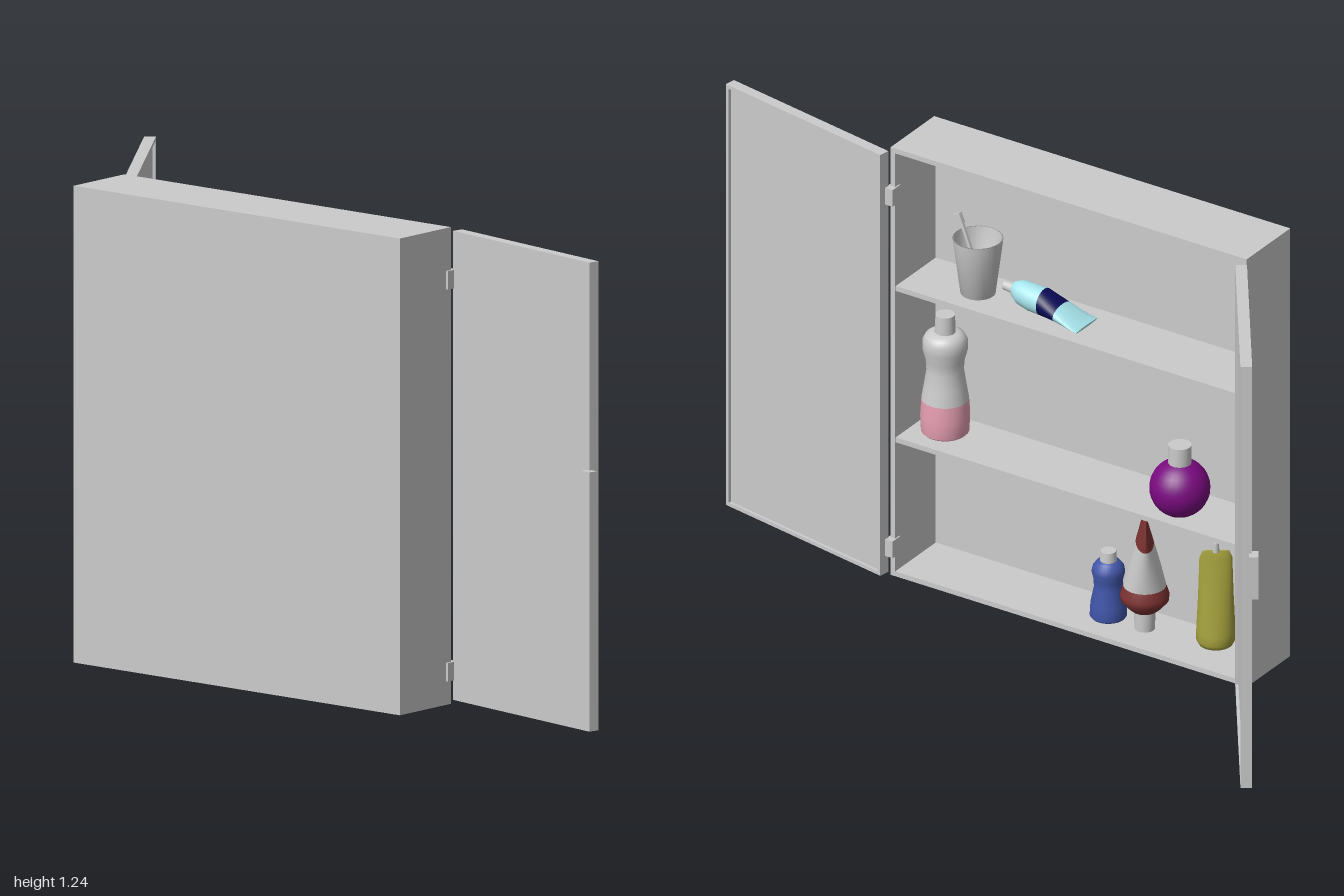
import * as THREE from 'three';

const GREY = 0xcccccc;

function mesh(name, geometry, color = GREY) {
  const m = new THREE.Mesh(geometry, new THREE.MeshStandardMaterial({ color }));
  m.name = name;
  return m;
}

function box(parent, name, size, pos) {
  const m = mesh(name, new THREE.BoxGeometry(...size));
  m.position.set(...pos);
  parent.add(m);
  return m;
}

// Closed skin through elliptical rings [y, rx, rz = rx, xShift = 0], from bottom to top
function loft(name, rings, color) {
  const n = rings.length - 1;
  const g = new THREE.CylinderGeometry(1, 1, 1, 28, n);
  const p = g.attributes.position;
  for (let i = 0; i < p.count; i++) {
    const [y, rx, rz = rx, dx = 0] = rings[Math.round((p.getY(i) + 0.5) * n)];
    p.setXYZ(i, p.getX(i) * rx + dx, y, p.getZ(i) * rz);
  }
  g.computeVertexNormals();
  return mesh(name, g, color);
}

function item(parent, name, pos, parts, turn = 0) {
  const g = new THREE.Group();
  g.name = name;
  g.position.set(...pos);
  g.rotation.y = turn;
  g.add(...parts);
  parent.add(g);
  return g;
}

// Door hinged at its origin, running along local x; inner is the sign of the inner face on z
function door(name, hinge, angle, inner) {
  const g = new THREE.Group(), L = 0.547, H = 1.215, T = 0.03, B = 0.01;
  g.name = name;
  box(g, 'doorPanel', [L - 2 * B, H - 2 * B, 0.022], [L / 2, 0, -inner * 0.004]);
  for (const s of [-1, 1]) {
    box(g, 'doorRail', [L, B, T], [L / 2, s * (H - B) / 2, 0]);
    box(g, 'doorStile', [B, H - 2 * B, T], [L / 2 + s * (L - B) / 2, 0, 0]);
  }
  box(g, 'doorHandle', [0.034, 0.122, 0.024], [L + 0.003, 0.008, -inner * 0.019]);
  g.position.set(hinge[0], 0.6175, hinge[1]);
  g.rotation.y = angle;
  return g;
}

export function createModel() {
  const model = new THREE.Group();
  model.name = 'wallCabinet';

  // Cabinet carcass, open toward +x
  const x0 = -0.34, x1 = -0.14, z0 = -0.65, z1 = 0.437, H = 1.235, t = 0.014;
  const cx = (x0 + x1) / 2, cz = (z0 + z1) / 2, D = x1 - x0, W = z1 - z0;
  const cabinet = new THREE.Group();
  cabinet.name = 'cabinet';
  model.add(cabinet);
  box(cabinet, 'backPanel', [t, H - 2 * t, W - 2 * t], [x0 + t / 2, H / 2, cz]);
  for (const y of [t / 2, H - t / 2]) box(cabinet, 'horizontalPanel', [D, t, W], [cx, y, cz]);
  for (const z of [z0 + t / 2, z1 - t / 2]) box(cabinet, 'sidePanel', [D, H - 2 * t, t], [cx, H / 2, z]);
  for (const y of [0.393, 0.83]) {
    box(cabinet, 'shelf', [D - t - 0.002, t, W - 2 * t], [cx + t / 2 - 0.001, y, cz]);
  }

  // Hinges and doors
  for (const z of [0.431, -0.638]) {
    for (const y of [0.085, 1.1]) box(model, 'hinge', [0.036, 0.048, 0.024], [-0.14, y, z]);
  }
  model.add(door('leftDoor', [-0.12, 0.443], -THREE.MathUtils.degToRad(100.5), -1));
  model.add(door('rightDoor', [-0.122, -0.645], THREE.MathUtils.degToRad(35), 1));

  // Top shelf: cup with toothbrush
  const cupProfile = [[0, 0], [0.045, 0], [0.065, 0.157], [0.061, 0.157], [0.042, 0.006], [0, 0.006]];
  const cup = mesh('cup', new THREE.LatheGeometry(cupProfile.map(q => new THREE.Vector2(...q)), 28));
  cup.material.side = THREE.DoubleSide;
  const brush = new THREE.Group();
  brush.name = 'toothbrush';
  box(brush, 'brushHandle', [0.008, 0.21, 0.008], [0, 0.105, 0]);
  box(brush, 'brushHead', [0.012, 0.03, 0.012], [0, 0.2, 0]);
  box(brush, 'bristles', [0.01, 0.026, 0.014], [0, 0.2, 0.011]);
  brush.position.set(0, 0.012, -0.02);
  brush.rotation.x = 0.38;
  item(model, 'cupWithToothbrush', [-0.23, 0.838, 0.23], [cup, brush]);

  // Top shelf: squeezed tube lying along z, sagging down to a flat end
  const lying = item(model, 'lyingTube', [-0.225, 0.838, 0], [
    loft('tubeCap', [[0.117, 0.014, 0.014, -0.047], [0.145, 0.012, 0.012, -0.048]]),
    loft('tubeFront', [[0.025, 0.036, 0.038, -0.036], [0.06, 0.036, 0.037, -0.038],
      [0.095, 0.032, 0.032, -0.043], [0.115, 0.02, 0.02, -0.047], [0.12, 0.012, 0.012, -0.047]], 0xa8e4ec),
    loft('tubeBand', [[-0.03, 0.022, 0.044, -0.023], [0.025, 0.036, 0.038, -0.036]], 0x0a0a55),
    loft('tubeTail', [[-0.105, 0.003, 0.05, -0.004], [-0.08, 0.008, 0.048, -0.009],
      [-0.03, 0.022, 0.044, -0.023]], 0xa8e4ec),
  ]);
  // Stand-up axes to lying ones: local y to +z, local x to -y, local z to -x
  lying.setRotationFromMatrix(new THREE.Matrix4().makeBasis(
    new THREE.Vector3(0, -1, 0), new THREE.Vector3(0, 0, 1), new THREE.Vector3(-1, 0, 0)));

  // Middle shelf: waisted bottle and round bottle
  item(model, 'waistedBottle', [-0.24, 0.4, 0.337], [
    loft('bottleBase', [[0, 0.056], [0.006, 0.062], [0.05, 0.064], [0.097, 0.061]], 0xe8a0b4),
    loft('bottleBody', [[0.097, 0.061], [0.14, 0.054], [0.18, 0.048], [0.21, 0.05], [0.24, 0.058],
      [0.265, 0.058], [0.28, 0.05], [0.287, 0.038], [0.289, 0.024]]),
    loft('bottleCap', [[0.285, 0.027], [0.338, 0.025]]),
  ]);
  const ball = [];
  for (let a = -1.05; a < 1.41; a += 0.175) ball.push([0.07 + 0.078 * Math.sin(a), 0.078 * Math.cos(a)]);
  item(model, 'roundBottle', [-0.212, 0.4, -0.398], [
    loft('roundBody', ball, 0x7a0a80),
    loft('roundCap', [[0.135, 0.03], [0.193, 0.03]]),
  ]);

  // Bottom: small bottle, tube standing on its cap, and tapered tube
  item(model, 'smallBottle', [-0.242, t, -0.16], [
    loft('smallBody', [[0, 0.044], [0.006, 0.048], [0.04, 0.046], [0.085, 0.037], [0.11, 0.038],
      [0.13, 0.043], [0.145, 0.04], [0.158, 0.03], [0.163, 0.018]], 0x4055a8),
    loft('smallCap', [[0.16, 0.022], [0.189, 0.02]]),
  ]);
  const red = 0x7c3232;
  item(model, 'standingTube', [-0.239, t, -0.273], [
    loft('standingCap', [[0, 0.026], [0.06, 0.028]]),
    loft('standingCollar', [[0.055, 0.034], [0.065, 0.045], [0.085, 0.062], [0.1, 0.063], [0.125, 0.055]], red),
    loft('standingLabel', [[0.125, 0.055, 0.055], [0.18, 0.057, 0.042], [0.248, 0.063, 0.023]]),
    loft('standingTop', [[0.248, 0.063, 0.023], [0.285, 0.064, 0.012], [0.312, 0.056, 0.003]], red),
  ], Math.PI / 5);
  item(model, 'taperedTube', [-0.239, t, -0.49], [
    loft('taperedBody', [[0.018, 0.03], [0.023, 0.044], [0.035, 0.05], [0.06, 0.049, 0.05],
      [0.17, 0.027, 0.045], [0.27, 0.009, 0.042], [0.288, 0.004, 0.034]], 0xa3a03c),
    loft('taperedTip', [[0.285, 0.009], [0.312, 0.008]]),
  ], Math.PI / 5);

  return model;
}
